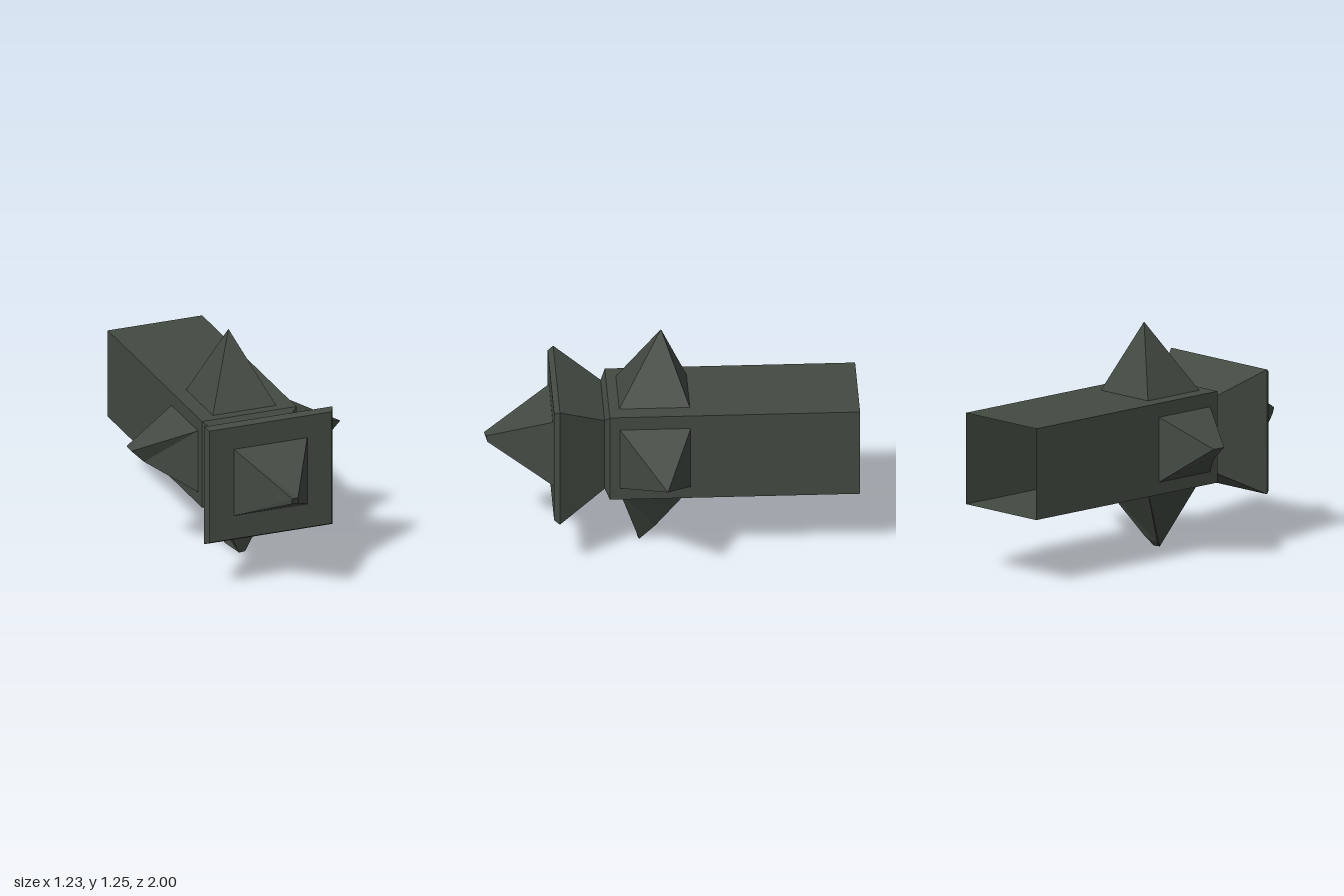
import * as THREE from 'three';

const darkIron = new THREE.MeshStandardMaterial({ color: 0x434a42, flatShading: true, side: THREE.DoubleSide });
darkIron.name = 'darkIron';

// Joins four-cornered rings into a faceted shell, optionally closing the last ring.
// Corners run counter-clockwise when seen from the end of the shell.
function loft(name, rings, capped = true) {
  const points = [];
  const tri = (...corners) => corners.forEach((c) => points.push(...c));
  for (let r = 0; r < rings.length - 1; r++) {
    const a = rings[r], b = rings[r + 1];
    for (let i = 0; i < 4; i++) {
      const j = (i + 1) % 4;
      tri(a[i], a[j], b[i]);
      tri(a[j], b[j], b[i]);
    }
  }
  if (capped) {
    const e = rings[rings.length - 1];
    tri(e[0], e[1], e[2]);
    tri(e[0], e[2], e[3]);
  }
  const geometry = new THREE.BufferGeometry();
  geometry.setAttribute('position', new THREE.Float32BufferAttribute(points, 3));
  geometry.computeVertexNormals();
  const mesh = new THREE.Mesh(geometry, darkIron);
  mesh.name = name;
  return mesh;
}

// Upright rectangle facing +z
const rect = (x0, x1, y0, y1, z) => [[x0, y0, z], [x1, y0, z], [x1, y1, z], [x0, y1, z]];

// Pyramid from a base ring to one sharp point
function pyramid(name, base, apex) {
  const points = [];
  base.forEach((corner, i) => points.push(...corner, ...base[(i + 1) % 4], ...apex));
  const geometry = new THREE.BufferGeometry();
  geometry.setAttribute('position', new THREE.Float32BufferAttribute(points, 3));
  geometry.computeVertexNormals();
  const mesh = new THREE.Mesh(geometry, darkIron);
  mesh.name = name;
  return mesh;
}

export function createModel() {
  const group = new THREE.Group();
  group.name = 'spikedHead';

  // Hollow shaft, open at the back
  group.add(loft('shaft', [
    rect(-0.307, 0.238, 0.37, 0.87, -1),
    rect(-0.307, 0.238, 0.37, 0.87, 0.34),
    rect(-0.26, 0.19, 0.412, 0.828, 0.365),
  ], false));

  // Flared striking plate with a bevelled rim
  group.add(loft('flare', [
    rect(-0.26, 0.19, 0.412, 0.828, 0.365),
    rect(-0.405, 0.337, 0.28, 0.963, 0.612),
    rect(-0.386, 0.318, 0.297, 0.946, 0.642),
  ]));

  // Front spike with a chipped point
  group.add(loft('frontSpike', [
    rect(-0.245, 0.178, 0.432, 0.818, 0.642),
    [[-0.053, 0.605, 0.988], [-0.014, 0.603, 0.983], [-0.016, 0.638, 0.99], [-0.053, 0.64, 1]],
  ]));

  // Sharp spikes above and on the left
  const z0 = -0.093, z1 = 0.285, x0 = -0.222, x1 = 0.143, y0 = 0.438, y1 = 0.794;
  group.add(pyramid('topSpike',
    [[x0, 0.87, z0], [x0, 0.87, z1], [x1, 0.87, z1], [x1, 0.87, z0]],
    [-0.038, 1.252, 0.053]));
  group.add(pyramid('leftSpike',
    [[0.238, y0, z0], [0.238, y1, z0], [0.238, y1, z1], [0.238, y0, z1]],
    [0.61, 0.613, 0.047]));

  // Chipped spikes on the right and below
  group.add(loft('rightSpike', [
    [[-0.307, y0, z0], [-0.307, y0, z1], [-0.307, y1, z1], [-0.307, y1, z0]],
    [[-0.55, 0.585, 0.035], [-0.54, 0.575, 0.09], [-0.615, 0.65, 0.095], [-0.612, 0.65, 0.02]],
  ]));
  group.add(loft('bottomSpike', [
    [[x0, 0.37, z0], [x1, 0.37, z0], [x1, 0.37, z1], [x0, 0.37, z1]],
    [[-0.083, 0.04, 0.11], [-0.015, 0.065, 0.085], [0.01, 0, 0.172], [-0.027, 0, 0.18]],
  ]));
  return group;
}
